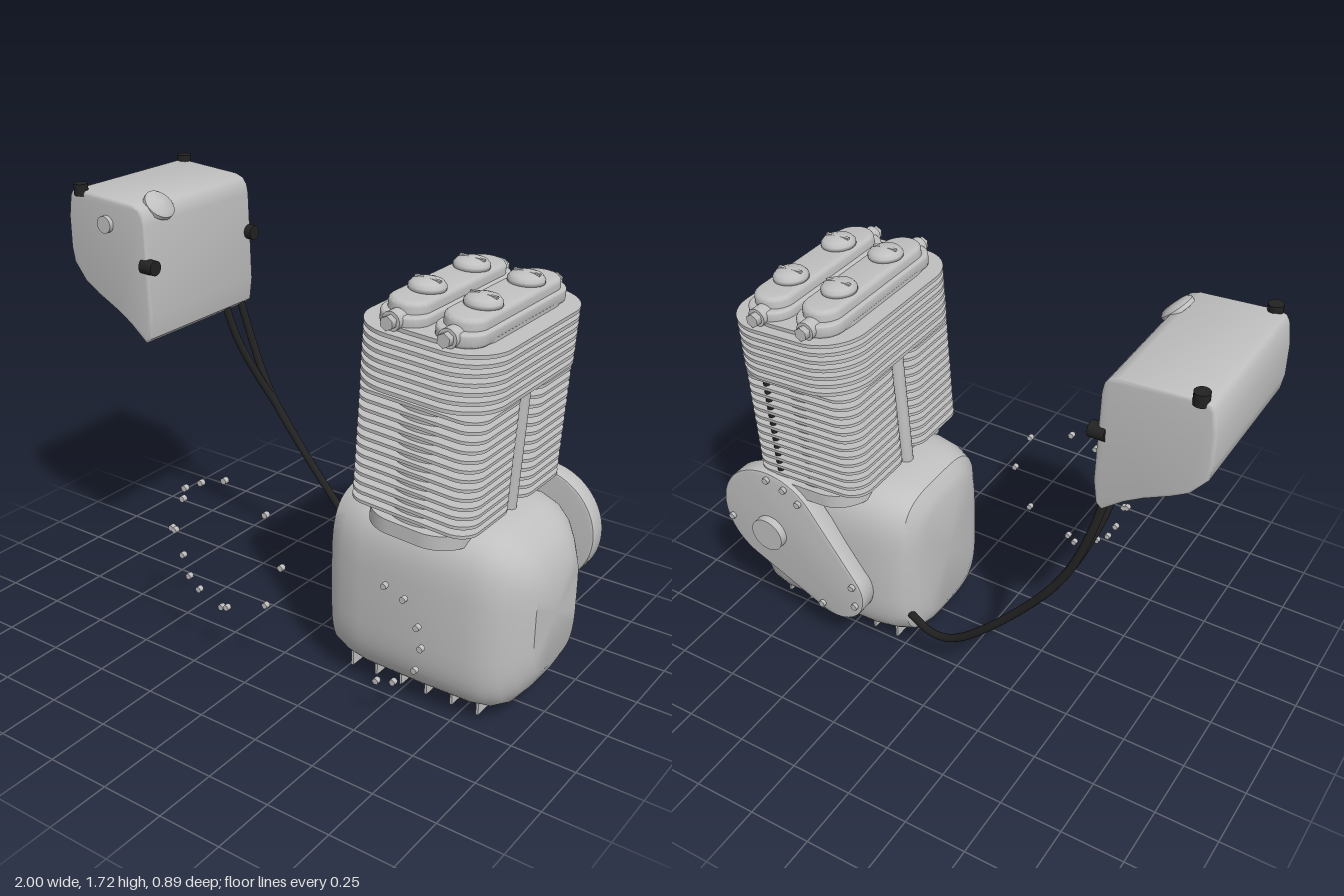
import * as THREE from 'three';
import { toCreasedNormals } from 'three/addons/utils/BufferGeometryUtils.js';

const metal = new THREE.MeshStandardMaterial({ color: 0xc0c0c0 });
metal.name = 'cast metal';
const rubber = new THREE.MeshStandardMaterial({ color: 0x222222 });
rubber.name = 'black rubber';

const MID_Z = -0.033;

function add(parent, name, geometry, x = 0, y = 0, z = 0, material = metal) {
  const mesh = new THREE.Mesh(geometry, material);
  mesh.name = name;
  mesh.position.set(x, y, z);
  parent.add(mesh);
  return mesh;
}

// Rounded rectangle centred on the origin
function roundedRect(w, d, r) {
  const s = new THREE.Shape();
  const x = w / 2 - r, y = d / 2 - r;
  s.absarc(x, y, r, 0, Math.PI / 2);
  s.absarc(-x, y, r, Math.PI / 2, Math.PI);
  s.absarc(-x, -y, r, Math.PI, Math.PI * 1.5);
  s.absarc(x, -y, r, Math.PI * 1.5, Math.PI * 2);
  return s;
}

// Horizontal slab standing on y = 0, with optional soft edges
function slab(w, d, h, r, bevel = 0) {
  const g = new THREE.ExtrudeGeometry(roundedRect(w - bevel * 2, d - bevel * 2, r - bevel), {
    depth: h - bevel * 2, curveSegments: 10, bevelEnabled: bevel > 0,
    bevelSize: bevel, bevelThickness: bevel, bevelSegments: 3,
  });
  g.translate(0, 0, bevel).rotateX(-Math.PI / 2);
  return toCreasedNormals(g, 0.6);
}

const rod = (r, h, n = 20) => new THREE.CylinderGeometry(r, r, h, n);
const rodZ = (r, h, n = 20) => rod(r, h, n).rotateX(Math.PI / 2);
const rodX = (r, h, n = 20) => rod(r, h, n).rotateZ(Math.PI / 2);

// Crankcase: superellipse sections along x
function crankcaseGeometry() {
  // x, bottom, top, half depth
  const sections = [
    [0.165, 0.13, 0.66, 0.17], [0.18, 0.09, 0.70, 0.22], [0.21, 0.06, 0.745, 0.265],
    [0.27, 0.047, 0.768, 0.29], [0.36, 0.04, 0.775, 0.308], [0.6, 0.036, 0.775, 0.312],
    [0.8, 0.036, 0.765, 0.308], [0.87, 0.042, 0.745, 0.29], [0.92, 0.068, 0.71, 0.26],
    [0.96, 0.12, 0.665, 0.215], [1.0, 0.2, 0.6, 0.16],
  ];
  const N = 56, pos = [], idx = [];
  const power = (v) => Math.sign(v) * Math.pow(Math.abs(v), 0.52);
  for (const [x, lo, hi, hz] of sections) {
    for (let j = 0; j < N; j++) {
      const t = (j / N) * Math.PI * 2;
      pos.push(x, (lo + hi) / 2 + power(Math.sin(t)) * (hi - lo) / 2, MID_Z + power(Math.cos(t)) * hz);
    }
  }
  const last = sections.length - 1;
  for (let i = 0; i < last; i++) {
    for (let j = 0; j < N; j++) {
      const k = (j + 1) % N, a = i * N + j, b = a + N, c = (i + 1) * N + k, d = i * N + k;
      idx.push(a, b, c, a, c, d);
    }
  }
  const ends = pos.length / 3;
  pos.push(0.165, 0.395, MID_Z, 1.0, 0.4, MID_Z);
  for (let j = 0; j < N; j++) {
    const k = (j + 1) % N;
    idx.push(ends, j, k, ends + 1, last * N + k, last * N + j);
  }
  const g = new THREE.BufferGeometry();
  g.setAttribute('position', new THREE.Float32BufferAttribute(pos, 3));
  g.setIndex(idx);
  return toCreasedNormals(g, 0.6);
}

function buildCrankcase(root) {
  const g = new THREE.Group();
  g.name = 'crankcase';
  add(g, 'crankcaseBody', crankcaseGeometry());
  for (let i = 0; i < 6; i++) {
    add(g, 'sumpFin', new THREE.BoxGeometry(0.01, 0.1, 0.457), 0.285 + i * 0.109, 0.08, MID_Z + 0.004);
  }
  add(g, 'drainPlug', rod(0.028, 0.06, 6), 0.555, 0.03, MID_Z);

  // Back cover: hull of a large and a small circle
  const A = [0.75, 0.555, 0.235], B = [0.472, 0.322, 0.142];
  const axis = Math.atan2(A[1] - B[1], A[0] - B[0]);
  const spread = Math.acos((B[2] - A[2]) / Math.hypot(A[0] - B[0], A[1] - B[1]));
  const s = new THREE.Shape();
  s.absarc(A[0], A[1], A[2], axis - spread, axis + spread);
  s.absarc(B[0], B[1], B[2], axis + spread, axis - spread + Math.PI * 2);
  const cover = new THREE.ExtrudeGeometry(s, {
    depth: 0.062, curveSegments: 28, bevelSize: 0.008, bevelOffset: -0.008, bevelThickness: 0.008, bevelSegments: 2,
  });
  add(g, 'backCover', toCreasedNormals(cover, 0.6), 0, 0, -0.402);
  add(g, 'coverBoss', rodZ(0.072, 0.04, 32), 0.757, 0.5, -0.422);
  const bolt = (c, deg) => {
    const a = deg * Math.PI / 180, r = c[2] - 0.03;
    add(g, 'coverBolt', rodZ(0.014, 0.02, 8), c[0] + r * Math.cos(a), c[1] + r * Math.sin(a), -0.415);
  };
  [-15, 90, 113, 135].forEach((d) => bolt(A, d));
  [150, 200, 300].forEach((d) => bolt(B, d));
  root.add(g);
}

// Finned barrels and head, leaning slightly
function buildTopEnd(root) {
  const g = new THREE.Group();
  g.name = 'cylinderBlock';
  g.position.set(0.57, 0.74, MID_Z);
  g.rotation.z = -0.058;
  add(g, 'barrelBase', slab(0.4, 0.71, 0.055, 0.14), 0, -0.025, 0);
  for (const s of [-1, 1]) {
    add(g, 'barrel', rod(0.16, 0.5, 40), 0, 0.26, s * 0.172);
    add(g, 'pushrodTube', rod(0.029, 0.5), s * 0.213, 0.26, 0);
  }
  add(g, 'barrelWeb', new THREE.BoxGeometry(0.3, 0.5, 0.3), 0, 0.26, 0);
  const barrelFin = slab(0.5, 0.335, 0.012, 0.08);
  for (let i = 0; i < 13; i++) {
    for (const s of [-1, 1]) add(g, 'barrelFin', barrelFin, 0, 0.055 + i * 0.035, s * 0.187);
  }
  add(g, 'head', slab(0.4, 0.7, 0.235, 0.15), 0, 0.5, 0);
  const headFin = slab(0.54, 0.78, 0.014, 0.17);
  for (let i = 0; i < 7; i++) add(g, 'headFin', headFin, 0, 0.512 + i * 0.0325, 0);

  // Rocker covers with round caps and end bolts
  const dome = new THREE.LatheGeometry(
    [[0.045, 0], [0.066, 0.004], [0.066, 0.018], [0.055, 0.031], [0.03, 0.039], [0, 0.042]]
      .map(([x, y]) => new THREE.Vector2(x, y)), 28);
  for (const s of [-1, 1]) {
    const x = s * 0.107;
    add(g, 'rockerCoverBase', slab(0.185, 0.69, 0.05, 0.09, 0.01), x, 0.72, 0);
    add(g, 'rockerCover', slab(0.155, 0.63, 0.1, 0.077, 0.018), x, 0.71, 0);
    for (const e of [-1, 1]) {
      add(g, 'rockerCap', dome, x, 0.805, e * 0.145);
      add(g, 'rockerCapSlot', new THREE.BoxGeometry(0.1, 0.008, 0.012), x, 0.842, e * 0.145);
      add(g, 'rockerShaftBoss', rodZ(0.035, 0.08), x, 0.752, e * 0.32);
      add(g, 'rockerShaftNut', rodZ(0.026, 0.05, 6), x, 0.752, e * 0.36);
    }
  }
  add(g, 'oilLine', rod(0.012, 0.5, 10), 0.135, 0.27, -0.335, rubber);
  root.add(g);
}

function buildTank(root) {
  const g = new THREE.Group();
  g.name = 'oilTank';
  const profile = [
    [-1, 1.47], [-0.99, 1.41], [-0.935, 1.34], [-0.87, 1.30], [-0.78, 1.255], [-0.715, 1.215],
    [-0.635, 1.15], [-0.612, 1.17], [-0.6, 1.26], [-0.61, 1.61], [-0.617, 1.645], [-0.635, 1.67],
    [-0.67, 1.683], [-0.95, 1.70], [-0.975, 1.69], [-0.987, 1.67], [-1, 1.59],
  ].map(([x, y]) => new THREE.Vector2(x, y));
  const body = new THREE.ExtrudeGeometry(new THREE.Shape(profile), {
    depth: 0.588, bevelSize: 0.012, bevelOffset: -0.012, bevelThickness: 0.012, bevelSegments: 3,
  });
  add(g, 'tankBody', toCreasedNormals(body, 0.65), 0, 0, -0.333);
  add(g, 'tankPlug', rodZ(0.033, 0.03, 28), -0.8, 1.59, 0.27);

  // Filler cap on the upper edge
  const cap = new THREE.LatheGeometry(
    [[0.045, -0.04], [0.045, 0], [0.062, 0.002], [0.062, 0.018], [0.05, 0.028], [0, 0.034]]
      .map(([x, y]) => new THREE.Vector2(x, y)), 28);
  add(g, 'fillerCap', toCreasedNormals(cap, 0.6), -0.643, 1.655, 0.155).rotation.z = -0.75;

  // Rubber mounts
  for (const z of [-0.33, 0.255]) {
    add(g, 'topMount', rod(0.027, 0.045), -0.935, 1.7, z, rubber);
    add(g, 'sideMount', rodX(0.029, 0.06), -0.605, 1.455, z, rubber);
  }
  root.add(g);
}

// Two hoses from the tank that run together into the crankcase
function buildHoses(root) {
  const shared = [
    [-0.47, 0.725, -0.33], [-0.36, 0.575, -0.337], [-0.2, 0.39, -0.337], [-0.07, 0.265, -0.33],
    [0.01, 0.217, -0.323], [0.09, 0.2, -0.308], [0.2, 0.206, -0.27],
  ];
  const starts = [
    [[-0.635, 1.19, -0.295], [-0.595, 1.02, -0.315], [-0.54, 0.86, -0.325]],
    [[-0.635, 1.19, -0.2], [-0.595, 1.02, -0.235], [-0.54, 0.86, -0.29]],
  ];
  for (const start of starts) {
    const curve = new THREE.CatmullRomCurve3([...start, ...shared].map((p) => new THREE.Vector3(...p)));
    add(root, 'oilHose', new THREE.TubeGeometry(curve, 70, 0.016, 12), 0, 0, 0, rubber);
  }
}

// Rows of small screws standing clear of the front
function buildFrontScrews(root) {
  const spots = [
    [-0.13, 0.78], [-0.235, 0.745], [-0.315, 0.7], [-0.337, 0.645], [-0.39, 0.51], [-0.375, 0.505],
    [-0.35, 0.4], [-0.313, 0.325], [-0.265, 0.283], [-0.165, 0.235], [-0.13, 0.25], [0.057, 0.327],
    [0.057, 0.697], [0.132, 0.51], [0.575, 0.59], [0.647, 0.557], [0.71, 0.473], [0.727, 0.395],
    [0.7, 0.292], [0.62, 0.218], [0.55, 0.195],
  ];
  spots.forEach(([x, y], i) => add(root, 'frontScrew', rodZ(0.012, 0.02, 10), x, y, i % 3 ? 0.434 : 0.424));
}

export function createModel() {
  const root = new THREE.Group();
  root.name = 'engineWithOilTank';
  buildCrankcase(root);
  buildTopEnd(root);
  buildTank(root);
  buildHoses(root);
  buildFrontScrews(root);
  return root;
}
